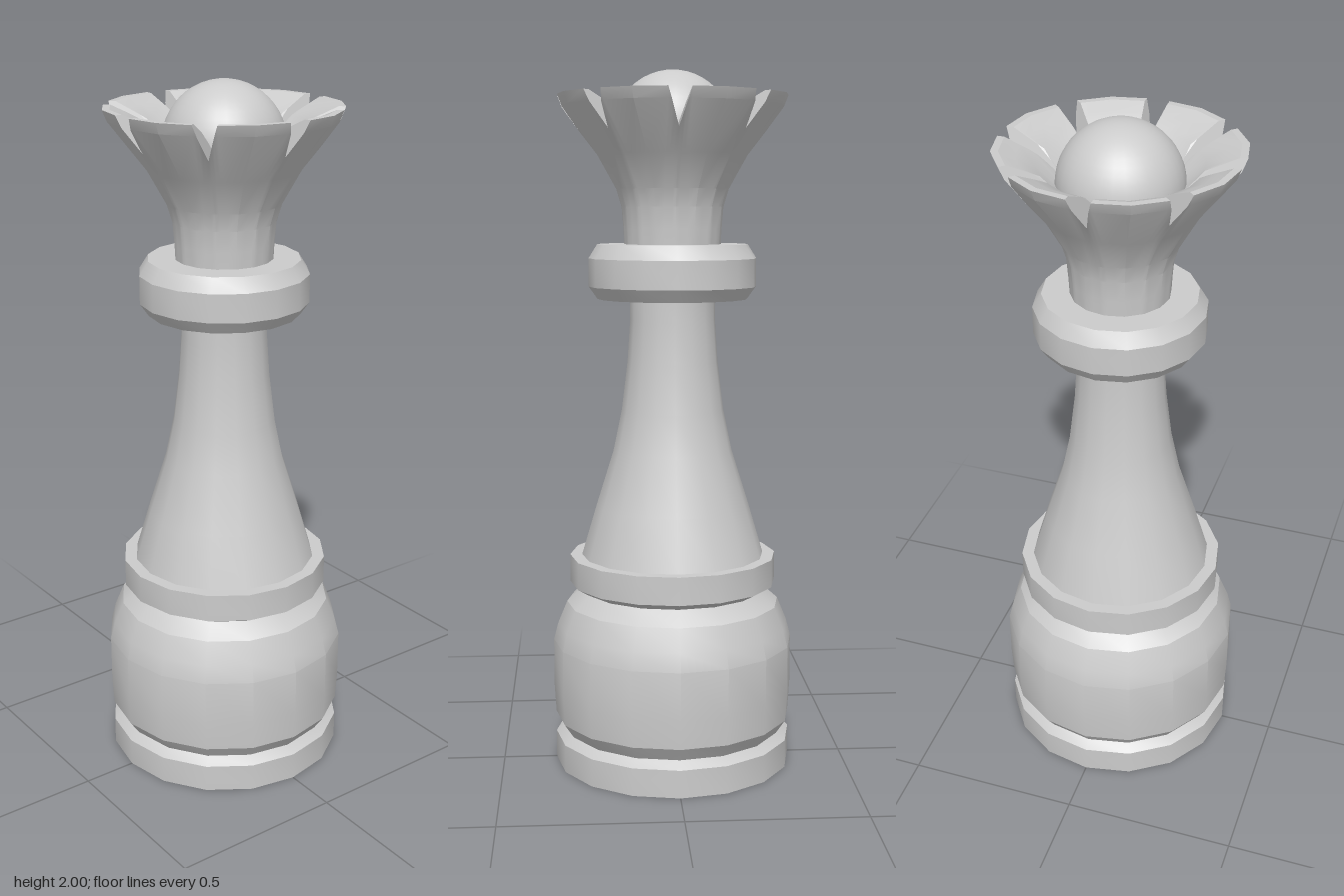
import * as THREE from 'three';
import { toCreasedNormals } from 'three/addons/utils/BufferGeometryUtils.js';

const SIDES = 16;
const CREASE = 0.4;
const material = new THREE.MeshStandardMaterial({ color: 0xcccccc, side: THREE.DoubleSide });

function addMesh(group, name, geometry) {
  const mesh = new THREE.Mesh(geometry, material);
  mesh.name = name;
  group.add(mesh);
  return mesh;
}

// Turned part from [radius, height] pairs, bottom to top
function turned(profile) {
  const points = profile.map(([r, y]) => new THREE.Vector2(r, y));
  return toCreasedNormals(new THREE.LatheGeometry(points, SIDES), CREASE);
}

// Limits a profile to height h; points above slide down along it
function clipProfile(profile, h) {
  return profile.map(([r, y]) => {
    if (y <= h) return [r, y];
    for (let i = 1; i < profile.length; i++) {
      const [r0, y0] = profile[i - 1], [r1, y1] = profile[i];
      if (y1 >= h) return [r0 + (r1 - r0) * (h - y0) / (y1 - y0), h];
    }
    return [r, y];
  });
}

// Flared cup whose rim is cut by eight V notches
function crownGeometry() {
  const outer = [[0.137, 1.5], [0.14, 1.56], [0.145, 1.62], [0.16, 1.67], [0.213, 1.765], [0.318, 1.9], [0.33, 1.93]];
  const inner = [[0.11, 1.79], [0.165, 1.83], [0.22, 1.887], [0.27, 1.913], [0.31, 1.93]];
  const rim = 1.93, depth = 0.1, half = 0.032, step = Math.PI / 8;
  const offsets = [-1, -0.67, -0.33, 0, 0.33, 0.67, 1].map((f) => f * half);
  const columns = [];
  for (let k = 0; k < 8; k++) {
    const a = k * Math.PI / 4;
    const addColumn = (h, place) => {
      const section = [...clipProfile(outer, h), ...clipProfile(inner, h).reverse()];
      columns.push(section.map(([r, y]) => {
        const [u, t] = place(r);
        return [u * Math.sin(a) + t * Math.cos(a), y, u * Math.cos(a) - t * Math.sin(a)];
      }));
    };
    // columns across the notch, lying on the flat facets either side of it
    for (const t of offsets) {
      const h = rim - depth * (1 - Math.abs(t) / half);
      addColumn(h, (r) => [r - Math.abs(t) * Math.tan(step / 2), t]);
    }
    // facet corner between two notches
    addColumn(rim, (r) => [r * Math.cos(step), r * Math.sin(step)]);
  }
  const rows = columns[0].length, index = [];
  columns.forEach((_, c) => {
    const n = (c + 1) % columns.length;
    for (let r = 0; r < rows - 1; r++) {
      const p = c * rows + r, q = n * rows + r;
      index.push(p, q, q + 1, p, q + 1, p + 1);
    }
  });
  const geometry = new THREE.BufferGeometry();
  geometry.setAttribute('position', new THREE.Float32BufferAttribute(columns.flat(2), 3));
  geometry.setIndex(index);
  return toCreasedNormals(geometry, CREASE);
}

export function createModel() {
  const group = new THREE.Group();
  group.name = 'chessQueen';

  // Foot disc and rounded drum
  addMesh(group, 'foot', turned([[0, 0], [0.345, 0], [0.345, 0.08], [0.318, 0.1], [0, 0.1]]));
  addMesh(group, 'drum', turned([
    [0.318, 0.1], [0.345, 0.14], [0.35, 0.22], [0.35, 0.36], [0.337, 0.41], [0.31, 0.475], [0.265, 0.515], [0, 0.515],
  ]));
  addMesh(group, 'lowerCollar', turned([[0, 0.51], [0.265, 0.515], [0.3, 0.535], [0.3, 0.615], [0, 0.615]]));

  // Tapered stem
  addMesh(group, 'stem', turned([
    [0.265, 0.615], [0.222, 0.76], [0.172, 0.92], [0.147, 1.04], [0.13, 1.18], [0.122, 1.3], [0.122, 1.37],
  ]));
  addMesh(group, 'upperCollar', turned([
    [0, 1.36], [0.215, 1.36], [0.24, 1.395], [0.24, 1.475], [0.215, 1.515], [0, 1.515],
  ]));

  // Notched crown and the ball inside it
  addMesh(group, 'crown', crownGeometry());
  addMesh(group, 'ball', new THREE.SphereGeometry(0.17, 32, 24)).position.y = 1.83;

  return group;
}
